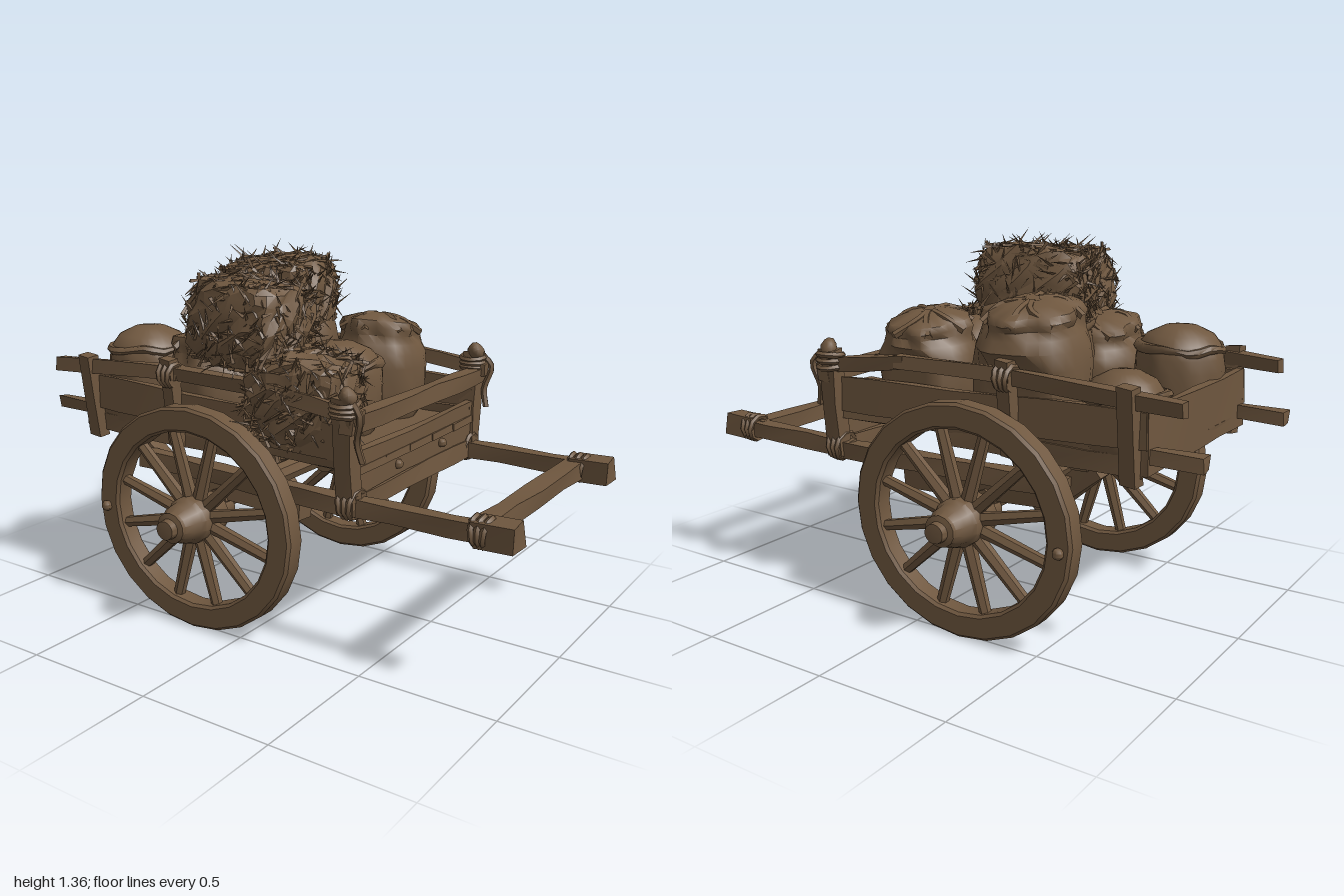
import * as THREE from 'three';
import { toCreasedNormals, mergeGeometries } from 'three/addons/utils/BufferGeometryUtils.js';

const brown = new THREE.MeshStandardMaterial({ color: 0x6f573f });
brown.name = 'weatheredBrown';

// Small seeded generator
let seed = 7;
const rnd = () => (seed = (seed * 16807) % 2147483647) / 2147483647;
const spread = (a) => (rnd() * 2 - 1) * a;
const V = (x, y, z) => new THREE.Vector3(x, y, z);

// Moves each distinct point by a position-based wobble so seams stay closed
function roughen(geo, amount, freq = 40) {
  const p = geo.attributes.position;
  for (let i = 0; i < p.count; i++) {
    const x = p.getX(i), y = p.getY(i), z = p.getZ(i);
    p.setXYZ(i,
      x + amount * Math.sin(freq * (y * 1.3 + z) + x * 17),
      y + amount * Math.sin(freq * (z * 1.1 - x) + y * 23),
      z + amount * Math.sin(freq * (x * 1.2 + y) + z * 19));
  }
  return geo;
}

function add(parent, name, geo, crease) {
  const mesh = new THREE.Mesh(toCreasedNormals(geo, crease), brown);
  mesh.name = name;
  parent.add(mesh);
  return mesh;
}

// Hewn timber from a to b, w wide and h high
function beam(parent, name, a, b, w, h) {
  const len = a.distanceTo(b);
  const geo = new THREE.BoxGeometry(w, h, len, 1, 1, Math.max(1, Math.round(len / 0.18)));
  const mesh = add(parent, name, roughen(geo, 0.004), 0.6);
  mesh.position.copy(a).lerp(b, 0.5);
  mesh.lookAt(b);
}

// Rope wrapped round a timber
function lashing(parent, pos, r, axis) {
  for (let i = -1; i <= 1; i++) {
    const m = add(parent, 'ropeLashing', new THREE.TorusGeometry(r, 0.011, 5, 9), 1);
    m.position.copy(pos).addScaledVector(axis, i * 0.02);
    m.quaternion.setFromUnitVectors(V(0, 0, 1), axis);
    m.rotateX(i * 0.12);
  }
}

const lathe = (pts, n) => new THREE.LatheGeometry(pts.map(([r, y]) => new THREE.Vector2(r, y)), n);

function wheel(side) {
  const g = new THREE.Group();
  g.name = side > 0 ? 'frontWheel' : 'backWheel';
  // Rim with softened corners
  const rim = lathe([[0.322, -0.03], [0.332, -0.04], [0.402, -0.04], [0.412, -0.03],
    [0.412, 0.03], [0.402, 0.04], [0.332, 0.04], [0.322, 0.03], [0.322, -0.03]], 24);
  add(g, 'rim', rim.rotateX(Math.PI / 2), 0.5);
  // Hub, stepped toward the outer cap
  const hub = lathe([[0, -0.165], [0.045, -0.165], [0.05, -0.1], [0.075, -0.09], [0.085, -0.04],
    [0.085, 0.045], [0.075, 0.06], [0.07, 0.09], [0.055, 0.12], [0.055, 0.135],
    [0.036, 0.14], [0.034, 0.165], [0, 0.168]], 14);
  add(g, 'hub', hub.rotateX(Math.PI / 2), 0.6);
  for (let i = 0; i < 12; i++) {
    const s = add(g, 'spoke', new THREE.CylinderGeometry(0.02, 0.025, 0.27, 6).translate(0, 0.205, 0), 0.6);
    s.rotation.z = (i + 0.5) * Math.PI / 6;
  }
  // Rim bolt
  const bolt = add(g, 'rimBolt', new THREE.SphereGeometry(0.02, 7, 5), 1);
  bolt.position.set(-0.37 * side, -0.02, 0.045);
  g.scale.x = 1.075;
  g.position.set(-0.2, 0.412, side * 0.492);
  if (side < 0) g.rotation.y = Math.PI;
  return g;
}

// Sack standing on the floor: wrinkled body pressed against the cart side, filled or gathered on top
function sack(parent, x, z, r, top, gathered) {
  const base = 0.69, h = top - base, k = h - (gathered ? 0.11 : 0.08), g = new THREE.Group();
  g.name = 'sack';
  const mouth = gathered
    ? [[0.88, k], [0.8, k + 0.03], [0.84, k + 0.055], [0.78, k + 0.08], [0.45, h - 0.01], [0.2, h], [0, h - 0.01]]
    : [[0.93, k], [0.88, k + 0.015], [0.74, k + 0.045], [0.38, h - 0.008], [0, h]];
  const profile = [[0, 0], [0.84, 0], [0.93, k * 0.12], [0.98, k * 0.4], [1, k * 0.7], [0.97, k * 0.88], ...mouth];
  const geo = lathe(profile.map(([a, y]) => [a * r, y]), 28);
  // A gathered top slumps toward the side of the cart
  const slump = (y, lz) => y + (gathered ? 0.2 * lz * (y / h) ** 3 : 0);
  const p = geo.attributes.position;
  for (let i = 0; i < p.count; i++) {
    const a = Math.atan2(p.getZ(i), p.getX(i)), y = p.getY(i);
    const fold = y > k + 0.01 ? (gathered ? 0.08 : 0.01) : 0.025;
    const s = 1 + fold * Math.sin(a * 5 + y * 14 + x * 9) + fold * 0.6 * Math.sin(a * 9 - y * 20);
    const wall = base + y < 0.95 ? 0.4 : 0.47;
    const lz = THREE.MathUtils.clamp(p.getZ(i) * s, -wall - z, wall - z);
    p.setXYZ(i, p.getX(i) * s, slump(y, lz), lz);
  }
  add(g, 'sackBody', geo, 0.9);
  if (gathered) {
    // Loose cloth folds over the top
    for (let i = 0; i < 7; i++) {
      const a = i * 0.9 + x * 5, b = a + 0.5 * Math.sin(i * 2.3);
      const at = (t, q, y) => V(Math.cos(t) * r * q, slump(y, Math.sin(t) * r * q), Math.sin(t) * r * q);
      const path = new THREE.CatmullRomCurve3([at(a, 0.86, k + 0.045), at(b, 0.5, h - 0.018), at(b, 0.1, h - 0.01)]);
      add(g, 'clothFold', new THREE.TubeGeometry(path, 6, 0.014, 5), 1);
    }
  } else {
    const rim = new THREE.TorusGeometry(r * 0.93, 0.016, 6, 24).rotateX(Math.PI / 2).translate(0, k, 0);
    add(g, 'rolledRim', roughen(rim, 0.008, 25), 1);
  }
  g.position.set(x, base, z);
  parent.add(g);
}

// Straw bale: rounded lumpy block covered with flat and protruding stalks
function bale(parent, c, size, tilt) {
  const g = new THREE.Group();
  g.name = 'strawBale';
  const half = size.clone().multiplyScalar(0.5);
  // Point of the unit cube pulled in at edges and corners
  const bulge = (q) => q.clone().multiplyScalar(1.13 - 0.13 * q.lengthSq()).multiply(half);
  const core = new THREE.BoxGeometry(2, 2, 2, 7, 6, 7), p = core.attributes.position;
  for (let i = 0; i < p.count; i++) {
    const q = bulge(V(p.getX(i), p.getY(i), p.getZ(i)));
    p.setXYZ(i, q.x, q.y, q.z);
  }
  add(g, 'strawCore', roughen(core, 0.009, 45), 0.4);
  const stalks = [];
  for (let i = 0; i < 520; i++) {
    const n = V(0, 0, 0), axis = i % 3, sgn = rnd() < 0.5 ? -1 : 1;
    n.setComponent(axis, sgn);
    const pos = bulge(V(spread(0.95), spread(0.95), spread(0.95)).setComponent(axis, sgn));
    const out = i % 4 === 0 ? 0.9 : 0.12;
    const dir = V(spread(1), spread(1), spread(1)).setComponent(axis, 0).normalize()
      .addScaledVector(n, out * (0.4 + rnd())).normalize();
    const len = 0.05 + rnd() * 0.06;
    const stalk = new THREE.ConeGeometry(0.0075, len, 3).translate(0, out > 0.5 ? len * 0.25 : 0, 0);
    stalk.applyQuaternion(new THREE.Quaternion().setFromUnitVectors(V(0, 1, 0), dir));
    stalks.push(stalk.translate(pos.x, pos.y, pos.z));
  }
  add(g, 'strawStalks', mergeGeometries(stalks), 0.4);
  g.position.copy(c);
  g.rotation.set(...tilt);
  parent.add(g);
}

export function createModel() {
  const model = new THREE.Group();
  model.name = 'loadedHandcart';

  // Running gear
  const axle = add(model, 'axle', new THREE.CylinderGeometry(0.042, 0.042, 0.74, 8).rotateX(Math.PI / 2), 0.6);
  axle.position.set(-0.2, 0.445, 0);
  for (const s of [1, -1]) {
    model.add(wheel(s));
    // Bolster with its rear end bent up to the bed
    beam(model, 'bolster', V(-0.48, 0.495, s * 0.32), V(0.16, 0.465, s * 0.32), 0.075, 0.07);
    beam(model, 'bolsterBend', V(-0.63, 0.635, s * 0.335), V(-0.46, 0.495, s * 0.32), 0.07, 0.075);

    // Pull shafts with bound ends
    beam(model, 'shaft', V(-0.54, 0.56, s * 0.385), V(0.4, 0.55, s * 0.41), 0.06, 0.06);
    beam(model, 'shaft', V(0.36, 0.555, s * 0.41), V(0.98, 0.56, s * 0.4), 0.055, 0.06);
    beam(model, 'shaftEnd', V(0.86, 0.56, s * 0.4), V(1.0, 0.565, s * 0.4), 0.08, 0.085);
    lashing(model, V(0.88, 0.56, s * 0.4), 0.047, V(1, 0, 0));

    // Side rails and planks
    beam(model, 'lowerRail', V(-1.0, 0.705, s * 0.35), V(0.43, 0.7, s * 0.415), 0.045, 0.045);
    beam(model, 'sidePlank', V(-0.82, 0.79, s * 0.39), V(0.42, 0.765, s * 0.43), 0.025, 0.125);
    beam(model, 'sidePlank', V(-0.8, 0.665, s * 0.37), V(-0.05, 0.67, s * 0.405), 0.025, 0.07);
    beam(model, 'upperRail', V(-0.95, 0.878, s * 0.405), V(-0.3, 0.915, s * 0.435), 0.04, 0.05);
    beam(model, 'upperRail', V(-0.36, 0.915, s * 0.435), V(0.12, 0.915, s * 0.44), 0.04, 0.05);
    beam(model, 'upperRail', V(0.08, 0.915, s * 0.44), V(0.47, 0.865, s * 0.45), 0.04, 0.05);
    beam(model, 'rearPost', V(-0.77, 0.61, s * 0.385), V(-0.77, 0.93, s * 0.43), 0.055, 0.045);
    beam(model, 'middlePost', V(-0.34, 0.64, s * 0.41), V(-0.34, 0.97, s * 0.455), 0.05, 0.04);
    beam(model, 'frontPost', V(0.41, 0.53, s * 0.425), V(0.41, 0.93, s * 0.46), 0.065, 0.055);
    lashing(model, V(0.41, 0.89, s * 0.455), 0.045, V(0, 1, 0));
    lashing(model, V(-0.34, 0.91, s * 0.445), 0.04, V(1, 0, 0));
    lashing(model, V(0.41, 0.565, s * 0.415), 0.05, V(1, 0, 0));
    const knot = add(model, 'ropeKnot', roughen(new THREE.IcosahedronGeometry(0.035, 1), 0.006), 0.9);
    knot.position.set(0.42, 0.93, s * 0.455);
    // Loose rope end hanging from the front post
    add(model, 'ropeTail', new THREE.TubeGeometry(new THREE.CatmullRomCurve3([V(0.43, 0.93, s * 0.46),
      V(0.48, 0.88, s * 0.475), V(0.46, 0.79, s * 0.46), V(0.475, 0.72, s * 0.45)]), 10, 0.012, 5), 1);
  }
  beam(model, 'handleBar', V(0.87, 0.56, -0.4), V(0.87, 0.56, 0.4), 0.07, 0.06);

  // Floor boards and cross members
  for (let i = 0; i < 5; i++) {
    const z = (i - 2) * 0.158;
    beam(model, 'floorBoard', V(-0.82, 0.68, z * 0.93), V(0.44, 0.68, z * 1.03), 0.158, 0.025);
  }
  beam(model, 'crossMember', V(-0.58, 0.645, -0.38), V(-0.58, 0.645, 0.38), 0.06, 0.05);

  // End boards
  beam(model, 'frontBoard', V(0.42, 0.67, -0.43), V(0.42, 0.67, 0.43), 0.03, 0.145);
  beam(model, 'frontSill', V(0.41, 0.565, -0.44), V(0.41, 0.565, 0.44), 0.06, 0.065);
  beam(model, 'frontRail', V(0.43, 0.842, -0.48), V(0.43, 0.842, 0.48), 0.05, 0.06);
  beam(model, 'tailBoard', V(-0.81, 0.75, -0.39), V(-0.81, 0.75, 0.39), 0.03, 0.21);
  for (const z of [0.16, -0.16]) {
    const bolt = add(model, 'boardBolt', new THREE.SphereGeometry(0.018, 7, 5), 1);
    bolt.position.set(0.44, 0.64, z);
  }

  // Cargo
  sack(model, -0.68, -0.27, 0.14, 0.95, false);
  sack(model, -0.65, 0.21, 0.16, 1.03, false);
  sack(model, -0.33, -0.27, 0.2, 1.15, true);
  sack(model, 0.1, -0.27, 0.18, 1.08, true);
  sack(model, 0.11, 0.04, 0.165, 1.02, false);
  sack(model, -0.3, 0.23, 0.19, 1.04, true);
  sack(model, -0.23, 0.0, 0.16, 1.1, false);
  bale(model, V(-0.19, 1.165, -0.01), V(0.41, 0.27, 0.31), [0.12, 0.15, 0.03]);
  bale(model, V(-0.07, 1.105, 0.32), V(0.42, 0.32, 0.31), [-0.05, -0.08, -0.08]);
  bale(model, V(0.16, 0.875, 0.325), V(0.38, 0.33, 0.28), [0.05, 0.1, -0.12]);
  return model;
}
